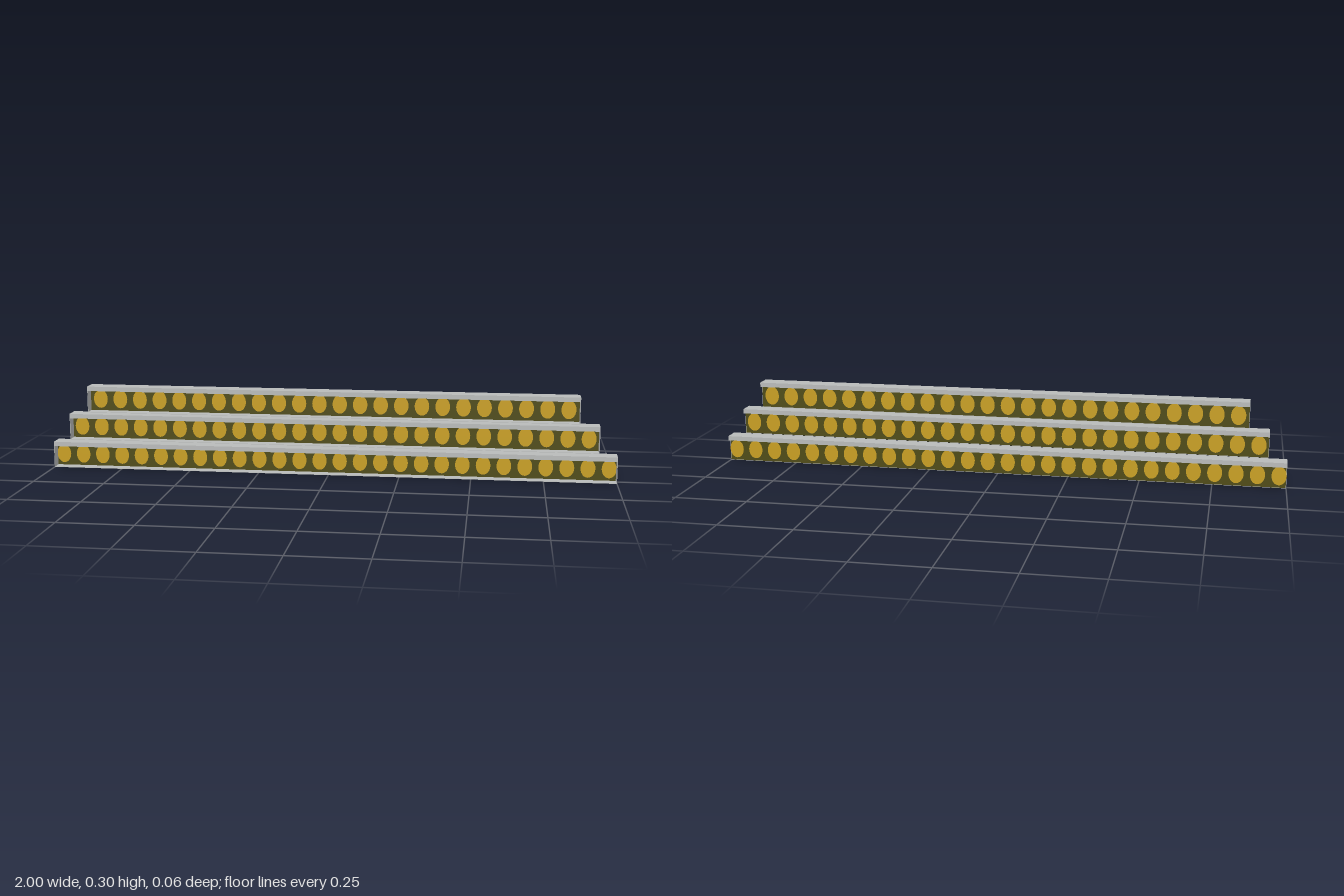
import * as THREE from 'three';

const frameGrey = new THREE.MeshStandardMaterial({ color: 0xb9bbba });
frameGrey.name = 'frame grey';
const panelOlive = new THREE.MeshStandardMaterial({ color: 0x4e4a10 });
panelOlive.name = 'panel olive';
const lampAmber = new THREE.MeshStandardMaterial({ color: 0xc99f20 });
lampAmber.name = 'lamp amber';

// Box given by its lower and upper corners
function box(name, material, [x0, y0, z0], [x1, y1, z1]) {
  const mesh = new THREE.Mesh(new THREE.BoxGeometry(x1 - x0, y1 - y0, z1 - z0), material);
  mesh.name = name;
  mesh.position.set((x0 + x1) / 2, (y0 + y1) / 2, (z0 + z1) / 2);
  return mesh;
}

// Light bar: tray open at the front, lamp panel at its back, lid overhanging behind
function createBar(halfWidth, lampCount) {
  const bar = new THREE.Group();
  const w = halfWidth, front = 0.028, back = -0.012, lidBottom = 0.077, wall = 0.0015;

  bar.add(box('lid', frameGrey, [-w, lidBottom, -0.028], [w, 0.093, front]));
  bar.add(box('floor', frameGrey, [-w, 0, back], [w, wall, front]));
  bar.add(box('rightEnd', frameGrey, [-w, 0, back], [-w + wall, lidBottom, front]));
  bar.add(box('leftEnd', frameGrey, [w - wall, 0, back], [w, lidBottom, front]));
  bar.add(box('lampPanel', panelOlive,
    [-w + wall, wall, back], [w - wall, lidBottom, back + 0.002]));

  // Oval lamps showing on both faces of the panel
  const lampGeometry = new THREE.CylinderGeometry(1, 1, 0.004, 24);
  lampGeometry.rotateX(Math.PI / 2);
  lampGeometry.scale(0.0255, 0.033, 1);
  for (let i = 0; i < lampCount; i++) {
    const lamp = new THREE.Mesh(lampGeometry, lampAmber);
    lamp.name = 'lamp';
    lamp.position.set((i - (lampCount - 1) / 2) * 0.0722, 0.043, back + 0.001);
    bar.add(lamp);
  }
  return bar;
}

export function createModel() {
  const model = new THREE.Group();
  model.name = 'lightBars';
  const bars = [
    ['lowerBar', 0, 1, 28],
    ['middleBar', 0.104, 0.937, 26],
    ['upperBar', 0.205, 0.868, 24],
  ];
  for (const [name, y, halfWidth, lampCount] of bars) {
    const bar = createBar(halfWidth, lampCount);
    bar.name = name;
    bar.position.y = y;
    model.add(bar);
  }
  return model;
}
